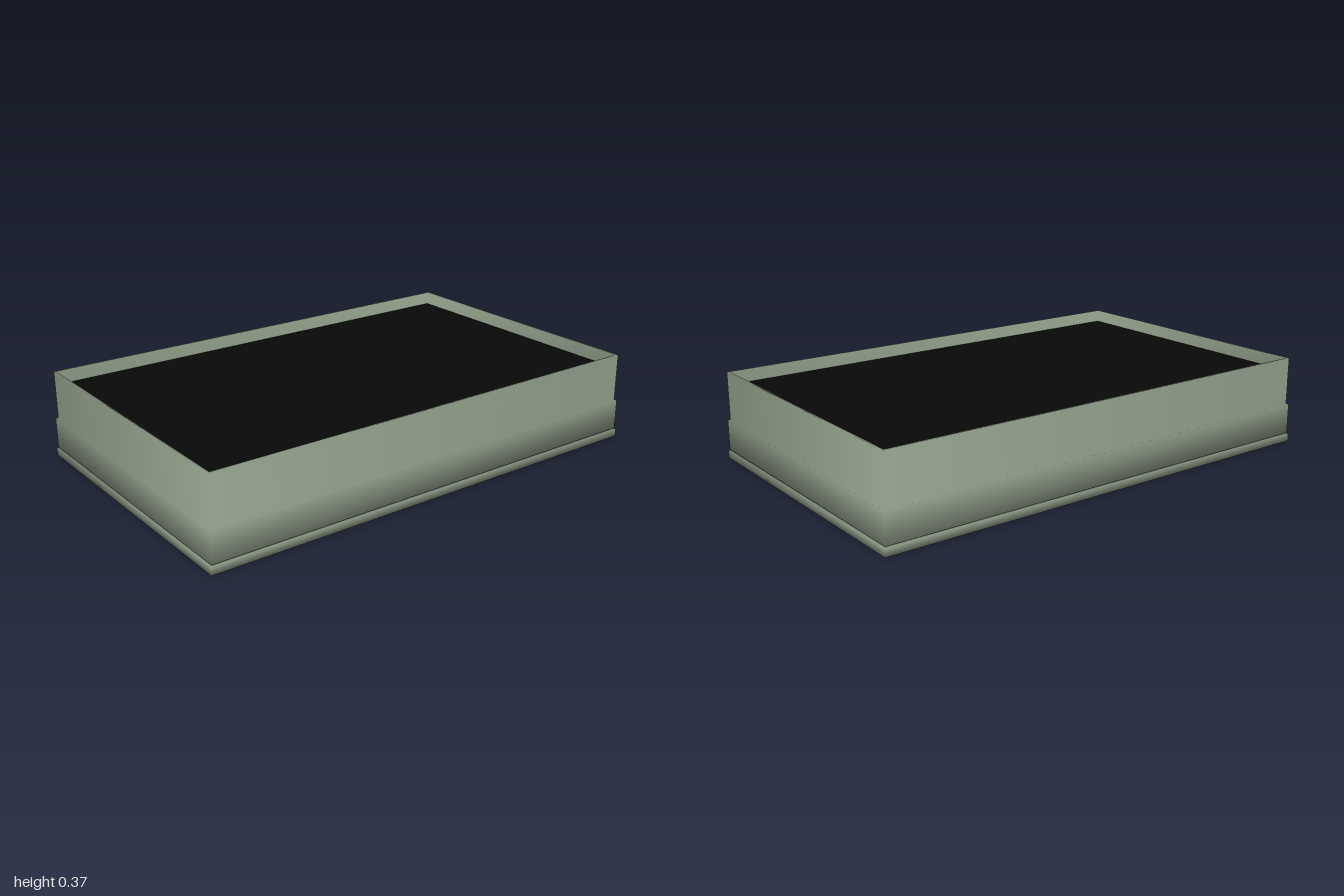
import * as THREE from 'three';

const HALF_X = 0.62, HALF_Z = 1;

// Sweeps a closed [inset, height] profile around a mitred rectangle, with softened normals
function sweepFrame(profile) {
  const corners = [[-1, 1], [1, 1], [1, -1], [-1, -1]];
  const n = profile.length;
  const edgeNormal = (i) => {
    const [o0, y0] = profile[(i + n) % n], [o1, y1] = profile[(i + 1) % n];
    return new THREE.Vector2(y1 - y0, o1 - o0).normalize(); // (outward, up)
  };
  const pos = [], nor = [], idx = [];
  profile.forEach(([inset, y], i) => {
    const m = edgeNormal(i - 1).add(edgeNormal(i)).normalize();
    for (const [sx, sz] of corners) {
      pos.push(sx * (HALF_X - inset), y, sz * (HALF_Z - inset));
      nor.push(sx * m.x * Math.SQRT1_2, m.y, sz * m.x * Math.SQRT1_2);
    }
  });
  for (let i = 0; i < n; i++) {
    for (let k = 0; k < 4; k++) {
      const a = i * 4 + k, b = i * 4 + (k + 1) % 4;
      const d = ((i + 1) % n) * 4 + k, c = ((i + 1) % n) * 4 + (k + 1) % 4;
      idx.push(a, b, c, a, c, d);
    }
  }
  const g = new THREE.BufferGeometry();
  g.setAttribute('position', new THREE.Float32BufferAttribute(pos, 3));
  g.setAttribute('normal', new THREE.Float32BufferAttribute(nor, 3));
  g.setIndex(idx);
  return g;
}

export function createModel() {
  const group = new THREE.Group();
  group.name = 'skylight';

  const sage = new THREE.MeshStandardMaterial({ color: 0x83907d });
  sage.name = 'sage green';
  const black = new THREE.MeshStandardMaterial({ color: 0x080808 });
  black.name = 'black glass';

  // Stepped frame: bottom lip, skirt, upper curb, thin rim, glazing ledge, inner wall
  const frame = new THREE.Mesh(sweepFrame([
    [0, 0], [0, 0.032], [0.01, 0.033], [0.005, 0.036],
    [0.005, 0.163], [0.013, 0.163], [0.013, 0.365],
    [0.022, 0.365], [0.024, 0.322], [0.046, 0.318],
    [0.048, 0.305], [0.048, 0.165], [0.041, 0.16],
    [0.041, 0.04], [0.048, 0.035], [0.048, 0],
  ]), sage);
  frame.name = 'frame';
  group.add(frame);

  // Recessed pane
  const pane = new THREE.Mesh(new THREE.BoxGeometry(2 * (HALF_X - 0.045), 0.006, 2 * (HALF_Z - 0.045)), black);
  pane.name = 'glassPane';
  pane.position.y = 0.316;
  group.add(pane);

  return group;
}
